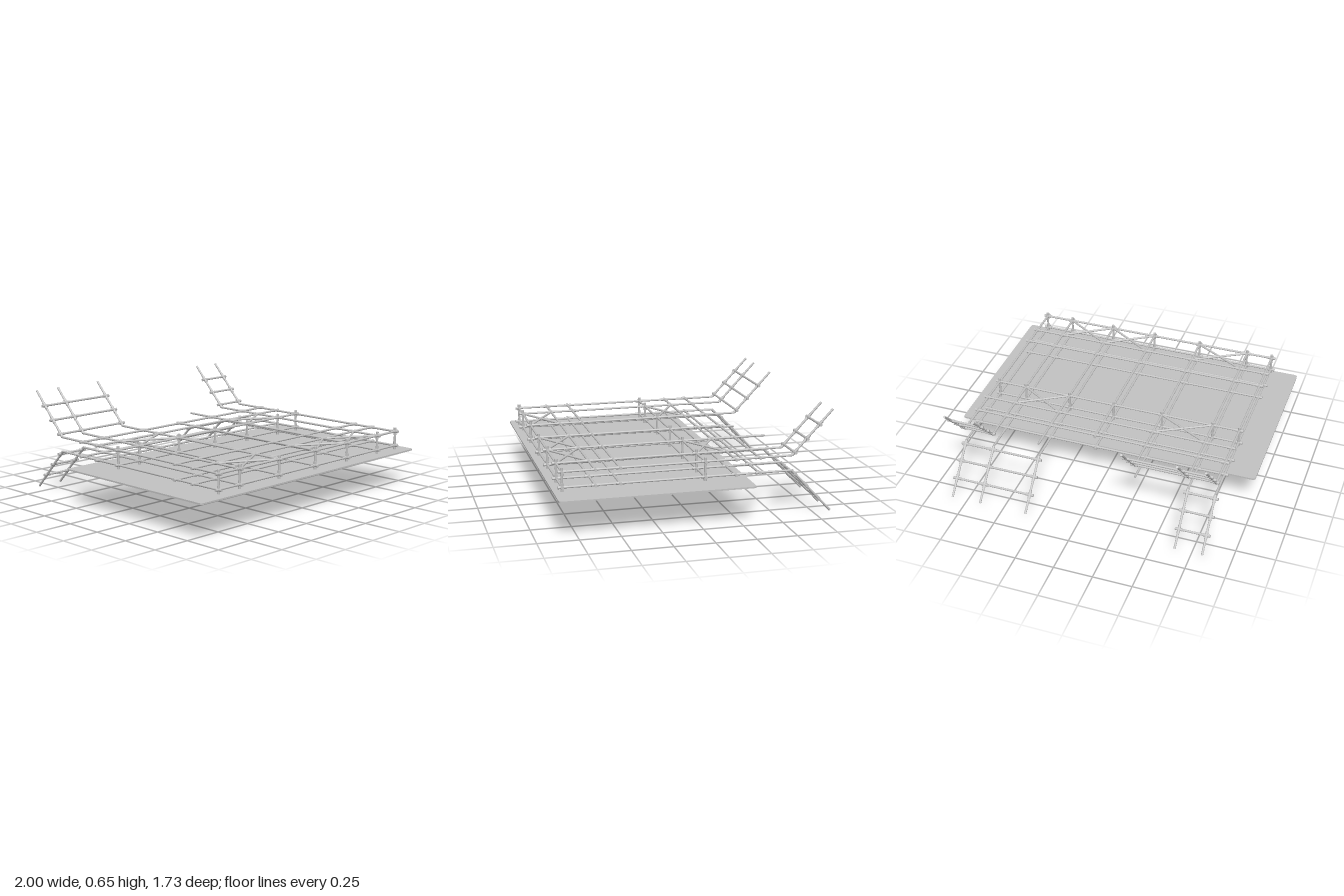
import * as THREE from 'three';

export function createModel() {
  const model = new THREE.Group();
  model.name = 'pipeFrameOnSlab';
  const grey = new THREE.MeshStandardMaterial({ color: 0xc2c2c2 });
  grey.name = 'light grey';

  const R = 0.0072, SLEEVE_R = 0.0095, HALF = 0.025;
  const UP = new THREE.Vector3(0, 1, 0);
  const xs = [-0.817, -0.642, -0.298, 0.035, 0.346, 0.658, 0.85];
  const zs = [0.82, 0.622, 0.472, -0.053, -0.243, -0.395];
  const postRows = [0.82, -0.053];
  const BEND = -0.603;
  const V = (x, y, z) => new THREE.Vector3(x, y, z);

  function group(name, parent = model) {
    const g = new THREE.Group();
    g.name = name;
    parent.add(g);
    return g;
  }

  // Straight round bar between two points
  function bar(parent, name, a, b, r = R) {
    const dir = b.clone().sub(a);
    const mesh = new THREE.Mesh(new THREE.CylinderGeometry(r, r, dir.length(), 12), grey);
    mesh.position.copy(a).add(b).multiplyScalar(0.5);
    mesh.quaternion.setFromUnitVectors(UP, dir.normalize());
    mesh.name = name;
    parent.add(mesh);
  }

  // Short sleeve centred on a joint
  function sleeve(parent, p, dir) {
    const d = dir.clone().normalize().multiplyScalar(HALF);
    bar(parent, 'jointSleeve', p.clone().sub(d), p.clone().add(d), SLEEVE_R);
  }

  // Base slab with slightly rounded corners
  const w = 1, z0 = -0.333, z1 = 0.865, c = 0.022;
  const s = new THREE.Shape();
  s.moveTo(-w + c, z0);
  s.lineTo(w - c, z0);
  s.quadraticCurveTo(w, z0, w, z0 + c);
  s.lineTo(w, z1 - c);
  s.quadraticCurveTo(w, z1, w - c, z1);
  s.lineTo(-w + c, z1);
  s.quadraticCurveTo(-w, z1, -w, z1 - c);
  s.lineTo(-w, z0 + c);
  s.quadraticCurveTo(-w, z0, -w + c, z0);
  const slabGeo = new THREE.ExtrudeGeometry(s, { depth: 0.01, bevelEnabled: false, curveSegments: 4 });
  slabGeo.rotateX(Math.PI / 2);
  const slab = new THREE.Mesh(slabGeo, grey);
  slab.name = 'slab';
  slab.position.y = 0.248;
  model.add(slab);

  // Two bar layers; the listed bars bend up or down at the back into ladders
  const layers = [
    { name: 'upperLayer', y: 0.382, slope: 1, ladders: [[0, 1, 2], [5, 6]] },
    { name: 'lowerLayer', y: 0.287, slope: -1, ladders: [[0, 1], [4, 5, 6]] },
  ];
  for (const { name, y, slope, ladders } of layers) {
    const layer = group(name);
    const bentAt = (x, z) => V(x, y + slope * (BEND - z) * 1.06, z);

    xs.forEach((x, i) => {
      const end = i === 3 ? -0.415 : BEND;
      bar(layer, 'longBar', V(x, y, 0.84), V(x, y, end));
      for (const z of zs) {
        sleeve(layer, V(x, y, z), V(0, 0, 1));
        sleeve(layer, V(x, y, z), V(1, 0, 0));
      }
    });
    for (const z of zs) bar(layer, 'crossBar', V(xs[0], y, z), V(xs[6], y, z));

    // Bent ends with three rungs each
    for (const cols of ladders) {
      const ladder = group('bentLadder', layer);
      const slopeDir = V(0, slope * 1.06, -1);
      for (const i of cols) bar(ladder, 'bentBar', bentAt(xs[i], BEND), bentAt(xs[i], -0.862));
      for (const z of [-0.62, -0.697, -0.777]) {
        bar(ladder, 'rung', bentAt(xs[cols[0]], z), bentAt(xs[cols[cols.length - 1]], z));
        for (const i of cols) {
          sleeve(ladder, bentAt(xs[i], z), V(1, 0, 0));
          sleeve(ladder, bentAt(xs[i], z), slopeDir);
        }
      }
    }
  }

  // Upright posts joining the layers
  const posts = group('posts');
  for (const z of postRows) for (const x of xs) {
    bar(posts, 'post', V(x, 0.287, z), V(x, 0.382, z));
    for (const y of [0.287, 0.382]) sleeve(posts, V(x, y, z), V(0, 1, 0));
  }

  // Diagonal cross braces in the upper layer: [column, front z, back z]
  const braces = group('crossBraces');
  const bays = [[1, 0.82, 0.622], [3, 0.82, 0.622], [4, 0.82, 0.622], [1, -0.053, -0.243], [4, -0.053, -0.243]];
  for (const [i, za, zb] of bays) {
    bar(braces, 'brace', V(xs[i], 0.382, za), V(xs[i + 1], 0.382, zb));
    bar(braces, 'brace', V(xs[i], 0.382, zb), V(xs[i + 1], 0.382, za));
  }

  return model;
}
